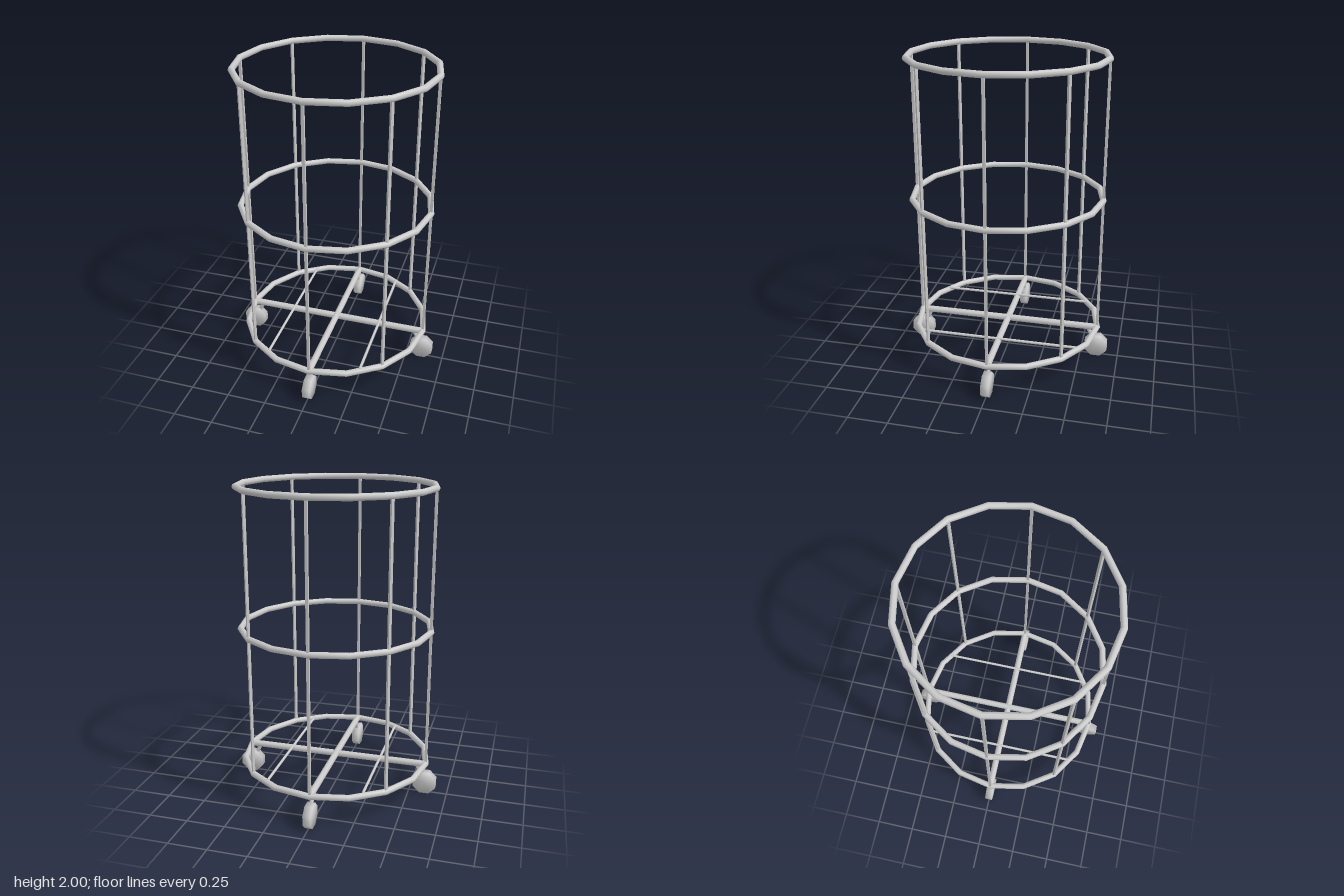
import * as THREE from 'three';
import { mergeVertices } from 'three/addons/utils/BufferGeometryUtils.js';

const R = 0.606;      // ring radius
const TUBE = 0.02;    // ring tube radius
const BASE = 0.203;   // bottom ring height
const TOP = 1.98;     // top ring height

export function createModel() {
  const model = new THREE.Group();
  const mat = new THREE.MeshStandardMaterial({ color: 0xcccccc });

  const add = (parent, name, geo, x = 0, y = 0, z = 0) => {
    const mesh = new THREE.Mesh(geo, mat);
    mesh.name = name;
    mesh.position.set(x, y, z);
    parent.add(mesh);
    return mesh;
  };

  // Three hoops, sixteen straight segments each
  const hoop = new THREE.TorusGeometry(R, TUBE, 8, 16).rotateX(Math.PI / 2);
  [['bottomRing', BASE], ['middleRing', 1.102], ['topRing', TOP]].forEach(([name, y]) =>
    add(model, name, hoop, 0, y, 0));

  // Eight thin square uprights, each facing outward
  const rod = new THREE.BoxGeometry(0.017, TOP - BASE, 0.017);
  for (let i = 0; i < 8; i++) {
    const a = (i * Math.PI) / 4;
    add(model, 'upright', rod, R * Math.sin(a), (TOP + BASE) / 2, R * Math.cos(a)).rotation.y = a;
  }

  // Crossed floor bars
  const bar = new THREE.CylinderGeometry(0.022, 0.022, 2 * R, 8);
  add(model, 'crossBarSide', bar, 0, BASE - 0.003, 0).rotation.z = Math.PI / 2;
  add(model, 'crossBarFront', bar, 0, BASE, 0).rotation.x = Math.PI / 2;

  // Thin floor rods either side of the centre
  const thin = new THREE.CylinderGeometry(0.009, 0.009, 1.02, 8).rotateX(Math.PI / 2);
  for (const s of [-1, 1]) add(model, 'floorRod', thin, s * 0.304, BASE + 0.014, 0);

  // Octagonal wheel with normals blended over its rim
  let wheel = new THREE.CylinderGeometry(0.08, 0.08, 0.05, 8).rotateY(Math.PI / 8).rotateX(Math.PI / 2);
  wheel.deleteAttribute('normal');
  wheel.deleteAttribute('uv');
  wheel = mergeVertices(wheel);
  wheel.computeVertexNormals();

  // Four casters, each on a stem leaning outward to the wheel
  const stemTop = new THREE.Vector3(0.54, BASE, 0);
  const hub = new THREE.Vector3(0.603, 0.074, 0);
  const lean = new THREE.Vector3().subVectors(stemTop, hub);
  const stem = new THREE.CylinderGeometry(0.013, 0.013, lean.length(), 8);
  for (let i = 0; i < 4; i++) {
    const caster = new THREE.Group();
    caster.name = 'caster';
    caster.rotation.y = (i * Math.PI) / 2;
    add(caster, 'casterWheel', wheel, hub.x, hub.y, hub.z);
    const mid = stemTop.clone().lerp(hub, 0.5);
    add(caster, 'casterStem', stem, mid.x, mid.y, mid.z).rotation.z = Math.atan2(-lean.x, lean.y);
    model.add(caster);
  }

  return model;
}
